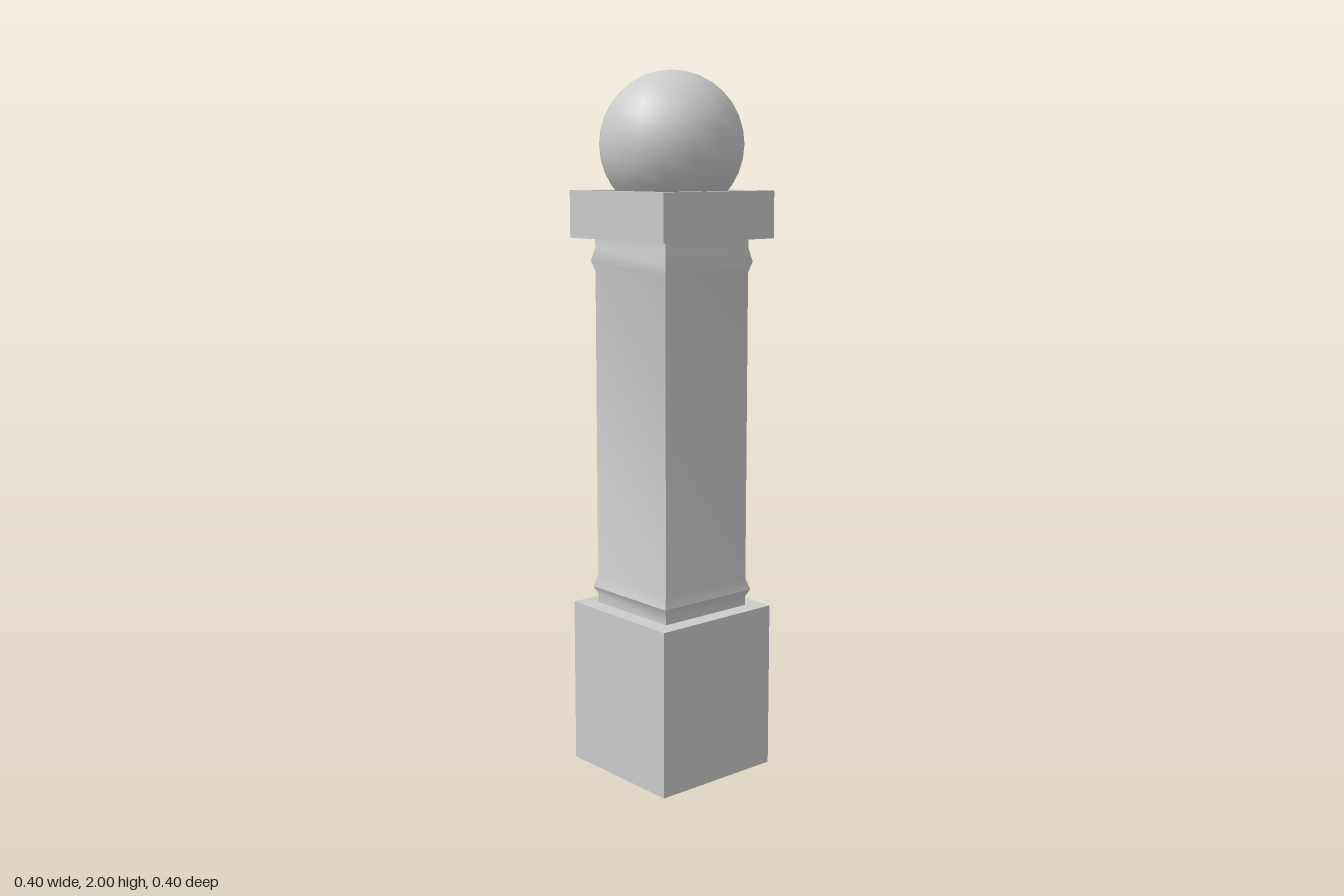
import * as THREE from 'three';
import { toCreasedNormals } from 'three/addons/utils/BufferGeometryUtils.js';

const material = new THREE.MeshStandardMaterial({ color: 0xcccccc, side: THREE.DoubleSide });

// Square solid from a profile of [half width, height] pairs, listed bottom to top
function squareTurned(name, profile) {
  const points = profile.map(([half, y]) => new THREE.Vector2(half * Math.SQRT2, y));
  const geometry = new THREE.LatheGeometry(points, 4, Math.PI / 4);
  const mesh = new THREE.Mesh(toCreasedNormals(geometry, 0.7), material);
  mesh.name = name;
  return mesh;
}

export function createModel() {
  const group = new THREE.Group();
  group.name = 'gatePost';

  // Hollow plinth, open underneath, with a ledge around the shaft
  group.add(squareTurned('plinth', [[0.202, 0], [0.202, 0.48], [0.152, 0.48]]));

  // Shaft with a pointed moulding near each end
  group.add(squareTurned('shaft', [
    [0.152, 0.48], [0.152, 0.507], [0.162, 0.527], [0.152, 0.56],
    [0.152, 1.445], [0.161, 1.475], [0.152, 1.515], [0.152, 1.54],
  ]));

  // Cap with a sunken top inside a raised rim
  group.add(squareTurned('cap', [
    [0.152, 1.54], [0.202, 1.54], [0.202, 1.672], [0.163, 1.672], [0.163, 1.61], [0, 1.61],
  ]));

  // Ball finial seated in the cap
  const ball = new THREE.Mesh(new THREE.SphereGeometry(0.202, 16, 16), material);
  ball.name = 'ballFinial';
  ball.position.y = 1.798;
  group.add(ball);

  return group;
}
